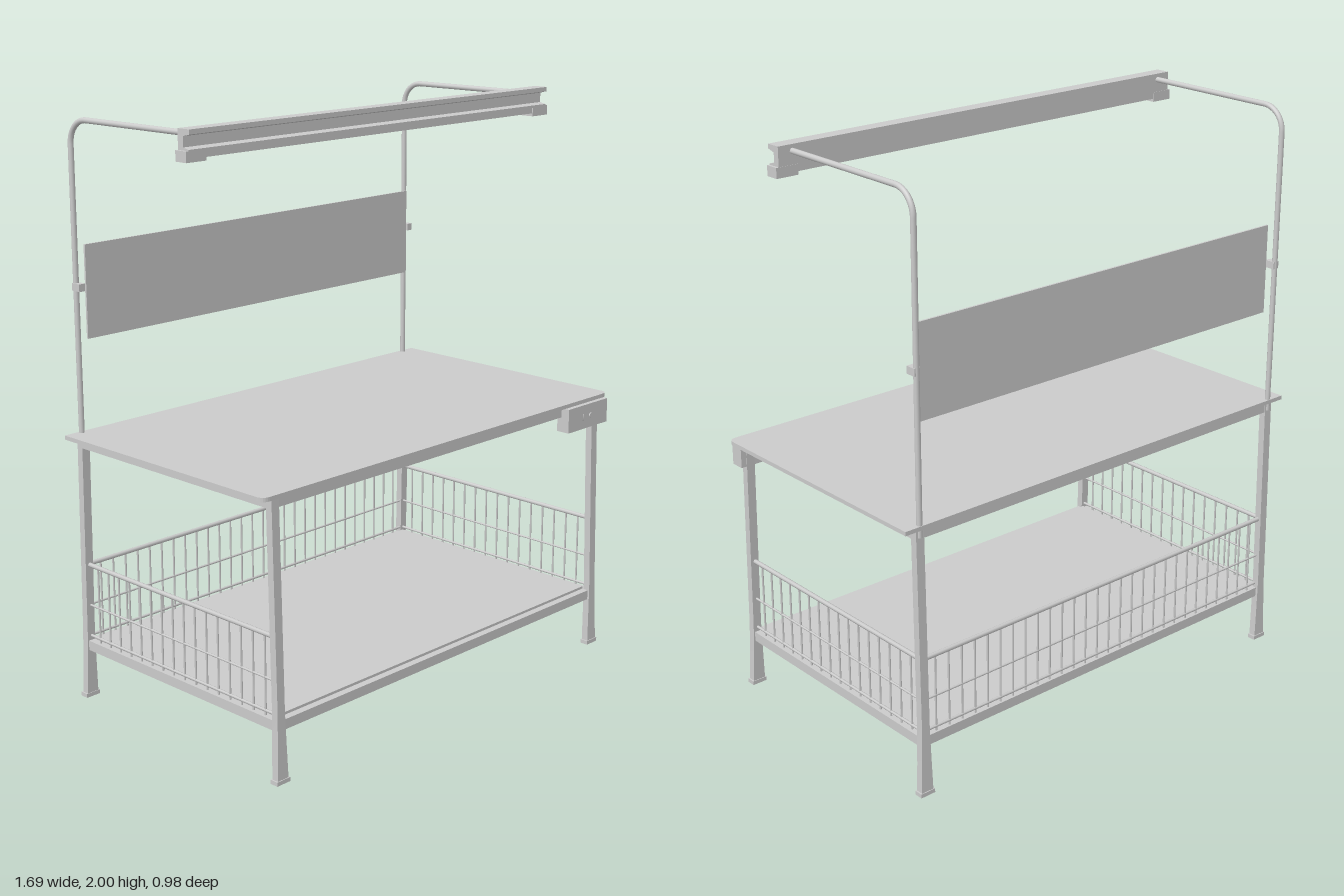
import * as THREE from 'three';

const grey = new THREE.MeshStandardMaterial({ color: 0xcccccc });

export function createModel() {
  const root = new THREE.Group();

  function add(name, geometry, parent = root) {
    const mesh = new THREE.Mesh(geometry, grey);
    mesh.name = name;
    parent.add(mesh);
    return mesh;
  }

  function group(name) {
    const g = new THREE.Group();
    g.name = name;
    root.add(g);
    return g;
  }

  // Box given by its low and high limits on each axis
  function box(name, x0, x1, y0, y1, z0, z1, parent) {
    const mesh = add(name, new THREE.BoxGeometry(x1 - x0, y1 - y0, z1 - z0), parent);
    mesh.position.set((x0 + x1) / 2, (y0 + y1) / 2, (z0 + z1) / 2);
    return mesh;
  }

  // Round bar between two points
  function rod(name, a, b, radius, parent, sides = 8) {
    const from = new THREE.Vector3(...a), to = new THREE.Vector3(...b);
    const dir = to.clone().sub(from);
    const mesh = add(name, new THREE.CylinderGeometry(radius, radius, dir.length(), sides), parent);
    mesh.position.copy(from).add(to).multiplyScalar(0.5);
    mesh.quaternion.setFromUnitVectors(new THREE.Vector3(0, 1, 0), dir.normalize());
    return mesh;
  }

  // Worktop with rounded front corners
  const top = new THREE.Shape();
  const W = 0.845, F = 0.47, B = 0.48, r = 0.03;
  top.moveTo(-W, B);
  top.lineTo(-W, -F + r);
  top.quadraticCurveTo(-W, -F, -W + r, -F);
  top.lineTo(W - r, -F);
  top.quadraticCurveTo(W, -F, W, -F + r);
  top.lineTo(W, B);
  top.closePath();
  const topGeo = new THREE.ExtrudeGeometry(top, { depth: 0.014, bevelEnabled: false, curveSegments: 6 });
  topGeo.rotateX(-Math.PI / 2);
  add('worktop', topGeo).position.y = 0.926;

  // Open rail frames below the worktop and around the lower shelf
  function frame(name, x, zBack, zFront, y0, y1, t) {
    const g = group(name);
    box('frontRail', -x, x, y0, y1, zFront - t, zFront, g);
    box('backRail', -x, x, y0, y1, zBack, zBack + t, g);
    for (const s of [-1, 1]) {
      const a = s * x, b = s * (x - t);
      box('sideRail', Math.min(a, b), Math.max(a, b), y0, y1, zBack + t, zFront - t, g);
    }
  }
  frame('worktopFrame', 0.8, -0.47, 0.455, 0.893, 0.926, 0.03);
  frame('shelfFrame', 0.795, -0.475, 0.47, 0.172, 0.206, 0.027);
  box('shelf', -0.77, 0.77, 0.2, 0.215, -0.45, 0.445);

  // Splayed legs, flaring wider towards the floor
  for (const sx of [-1, 1]) {
    for (const front of [true, false]) {
      const name = front ? 'frontLeg' : 'backLeg';
      const geo = new THREE.BoxGeometry(1, 0.926, 1, 1, 8, 1);
      geo.translate(0, 0.463, 0);
      const p = geo.attributes.position;
      for (let i = 0; i < p.count; i++) {
        const y = p.getY(i), t = y / 0.926;
        const flare = Math.max(0, 1 - y / 0.22);
        const centre = front ? 0.469 - 0.023 * t : -0.474 + 0.014 * t;
        p.setX(i, sx * 0.784 + p.getX(i) * (0.031 + 0.016 * flare));
        p.setZ(i, centre + p.getZ(i) * 0.025);
      }
      geo.computeVertexNormals();
      add(name, geo);
      const z = front ? 0.469 : -0.474;
      box('footPad', sx * 0.784 - 0.028, sx * 0.784 + 0.028, 0, 0.014, z - 0.015, z + 0.015);
    }
  }

  // Wire guard on the back and both sides of the shelf
  const guard = group('wireGuard');
  const levels = [[0.222, 0.005], [0.333, 0.004], [0.478, 0.008]];
  const gx = 0.782, gBack = -0.465, gFront = 0.458;
  for (const [y, rad] of levels) {
    rod('backWire', [-gx, y, gBack], [gx, y, gBack], rad, guard);
    for (const s of [-1, 1]) rod('sideWire', [s * gx, y, gBack], [s * gx, y, gFront], rad, guard);
  }
  function upright(x, z) {
    rod('uprightWire', [x, 0.2, z], [x, 0.478, z], 0.0035, guard, 6);
  }
  const nBack = 29, nSide = 17;
  for (let i = 1; i < nBack; i++) upright(-gx + (2 * gx * i) / nBack, gBack);
  for (let i = 1; i < nSide; i++) {
    const z = gBack + ((gFront - gBack) * i) / nSide;
    for (const s of [-1, 1]) upright(s * gx, z);
  }

  // Curved posts that carry the overhead bar
  for (const s of [-1, 1]) {
    const x = s * 0.783, zp = -0.469, yt = 1.976, bend = 0.08;
    const path = new THREE.CurvePath();
    const V = (y, z) => new THREE.Vector3(x, y, z);
    path.add(new THREE.LineCurve3(V(0.9, zp), V(yt - bend, zp)));
    path.add(new THREE.CubicBezierCurve3(V(yt - bend, zp), V(yt - bend * 0.45, zp),
      V(yt, zp + bend * 0.45), V(yt, zp + bend)));
    path.add(new THREE.LineCurve3(V(yt, zp + bend), V(yt + 0.003, 0.125)));
    add('overheadPost', new THREE.TubeGeometry(path, 120, 0.0095, 12));
    // Bracket from post to panel and bolt through the bar
    box('panelBracket', x - 0.012, x + 0.012, 1.42, 1.445, -0.475, -0.438);
    rod('barBolt', [s * 0.765, 1.988, 0.13], [s * 0.765, 1.988, 0.142], 0.007, root, 12);
  }

  // Thin back panel between the posts
  box('backPanel', -0.765, 0.765, 1.26, 1.572, -0.446, -0.439);

  // Overhead bar: channel profile with a lamp housing beneath
  const bar = new THREE.Shape();
  [[0.113, 1.932], [0.16, 1.932], [0.16, 1.94], [0.136, 1.945], [0.136, 1.978],
    [0.164, 1.985], [0.164, 2], [0.113, 2]].forEach(([z, y], i) =>
    i ? bar.lineTo(-z, y) : bar.moveTo(-z, y));
  bar.closePath();
  const barGeo = new THREE.ExtrudeGeometry(bar, { depth: 1.67, bevelEnabled: false });
  barGeo.translate(0, 0, -0.835);
  barGeo.rotateY(Math.PI / 2);
  add('overheadBar', barGeo);
  box('lampHousing', -0.77, 0.77, 1.912, 1.934, 0.116, 0.156);
  for (const s of [-1, 1]) {
    const c = s * 0.805;
    box('lampEndCap', c - 0.04, c + 0.04, 1.902, 1.936, 0.112, 0.16);
  }

  // Control box under the front edge with a pointer mark and knob
  box('controlBox', 0.6, 0.82, 0.84, 0.926, 0.437, 0.487);
  const pointer = add('pointerButton', new THREE.CylinderGeometry(0.015, 0.015, 0.004, 3));
  pointer.rotation.set(Math.PI / 2, Math.PI / 2, 0);
  pointer.position.set(0.688, 0.883, 0.488);
  rod('knob', [0.725, 0.883, 0.485], [0.725, 0.883, 0.491], 0.009, root, 12);

  return root;
}
